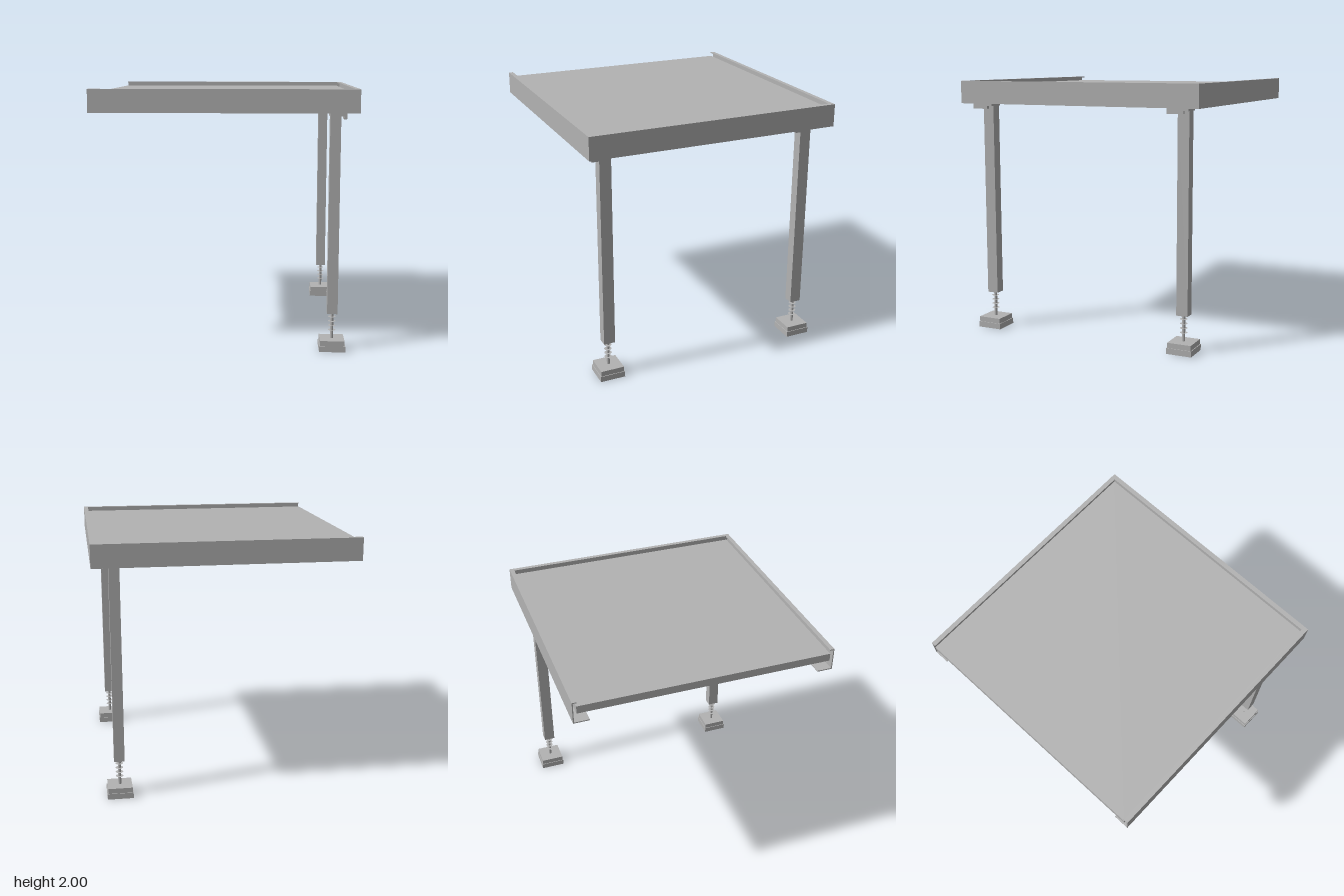
import * as THREE from 'three';

export function createModel() {
  const model = new THREE.Group();
  const steel = new THREE.MeshStandardMaterial({ color: 0xb2b2b2, side: THREE.DoubleSide });
  steel.name = 'grey steel';

  // Box given by its minimum and maximum corners
  function box(parent, name, [x0, y0, z0], [x1, y1, z1]) {
    const geometry = new THREE.BoxGeometry(x1 - x0, y1 - y0, z1 - z0);
    const mesh = new THREE.Mesh(geometry, steel);
    mesh.position.set((x0 + x1) / 2, (y0 + y1) / 2, (z0 + z1) / 2);
    mesh.name = name;
    parent.add(mesh);
    return mesh;
  }

  const T = 0.008, Z = 0.995, LIP = 0.035, FLANGE = 0.12;
  const TOP = 2, BOTTOM = 1.825, DECK = 1.965, SKIRT = 1.905;

  // Channel frame on three sides: web, top lip with downturn, bottom flange
  const frame = new THREE.Group();
  frame.name = 'frame';
  for (const s of [-1, 1]) {
    const side = (name, y0, y1, a, b) =>
      box(frame, name, [-1, y0, Math.min(s * a, s * b)], [1, y1, Math.max(s * a, s * b)]);
    side('sideWeb', BOTTOM, TOP, Z - T, Z);
    side('sideTopLip', TOP - T, TOP, Z - LIP, Z);
    side('sideBottomFlange', BOTTOM, BOTTOM + T, Z - FLANGE, Z);
  }
  box(frame, 'endWeb', [1 - T, BOTTOM, -Z], [1, TOP, Z]);
  box(frame, 'endTopLip', [1 - LIP, TOP - T, -Z], [1, TOP, Z]);
  box(frame, 'endBottomFlange', [1 - FLANGE, BOTTOM, -Z], [1, BOTTOM + T, Z]);
  model.add(frame);

  // Deck panel with turned-down edges and a middle beam
  const deck = new THREE.Group();
  deck.name = 'deck';
  const P = 0.965;
  box(deck, 'deckPanel', [-1, DECK - T, -P], [P, DECK, P]);
  box(deck, 'openEdgeSkirt', [-1, SKIRT, -P], [-1 + T, DECK, P]);
  box(deck, 'endSkirt', [P - T, SKIRT, -P], [P, DECK, P]);
  for (const s of [-1, 1]) {
    const z = s * (P - T / 2);
    box(deck, 'sideSkirt', [-1, SKIRT, z - T / 2], [P, DECK, z + T / 2]);
  }
  box(deck, 'middleBeam', [-0.03, 1.875, -P + T], [0.03, DECK - T, P - T]);
  model.add(deck);

  // Diagonal angle brace across each supported corner
  for (const s of [-1, 1]) {
    const brace = new THREE.Group();
    brace.name = 'cornerBrace';
    box(brace, 'braceWeb', [-0.22, 1.835, -T / 2], [0.22, 1.9, T / 2]);
    box(brace, 'braceFlange', [-0.1, 1.9 - T, -0.12], [0.1, 1.9, 0]);
    brace.position.set(0.715, 0, s * 0.795);
    brace.rotation.y = s > 0 ? Math.PI / 4 : 3 * Math.PI / 4;
    model.add(brace);
  }

  // Hollow rectangular leg tube, extruded upwards
  function rect(path, hx, hz) {
    path.moveTo(-hx, -hz);
    path.lineTo(hx, -hz);
    path.lineTo(hx, hz);
    path.lineTo(-hx, hz);
    path.closePath();
    return path;
  }
  const section = rect(new THREE.Shape(), 0.04, 0.045);
  section.holes.push(rect(new THREE.Path(), 0.032, 0.037));
  const tube = new THREE.ExtrudeGeometry(section, { depth: 1.53, bevelEnabled: false });
  tube.rotateX(-Math.PI / 2);

  function leg(z) {
    const group = new THREE.Group();
    group.name = 'legAssembly';
    const post = new THREE.Mesh(tube, steel);
    post.name = 'leg';
    post.position.y = 0.285;
    group.add(post);

    // Mounting bracket
    box(group, 'mountingPlate', [-0.047, 1.802, -0.052], [0.077, 1.825, 0.116]);
    box(group, 'mountingTab', [0.055, 1.78, -0.012], [0.077, 1.825, 0.116]);

    // Threaded foot
    box(group, 'legEndPlate', [-0.034, 0.3, -0.039], [0.034, 0.31, 0.039]);
    const rod = new THREE.Mesh(new THREE.CylinderGeometry(0.012, 0.012, 0.23, 12), steel);
    rod.name = 'threadedRod';
    rod.position.y = 0.195;
    group.add(rod);
    for (let i = 0; i < 4; i++) {
      const ring = new THREE.Mesh(new THREE.CircleGeometry(0.03, 12), steel);
      ring.name = 'threadRing';
      ring.rotation.x = -Math.PI / 2;
      ring.position.y = 0.15 + i * 0.035;
      group.add(ring);
    }
    box(group, 'footBase', [-0.1, 0, -0.1], [0.1, 0.045, 0.1]);
    box(group, 'footTop', [-0.094, 0.045, -0.094], [0.094, 0.085, 0.094]);
    group.position.set(0.83, 0, z);
    model.add(group);
  }
  leg(0.83);
  leg(-0.83);

  return model;
}
